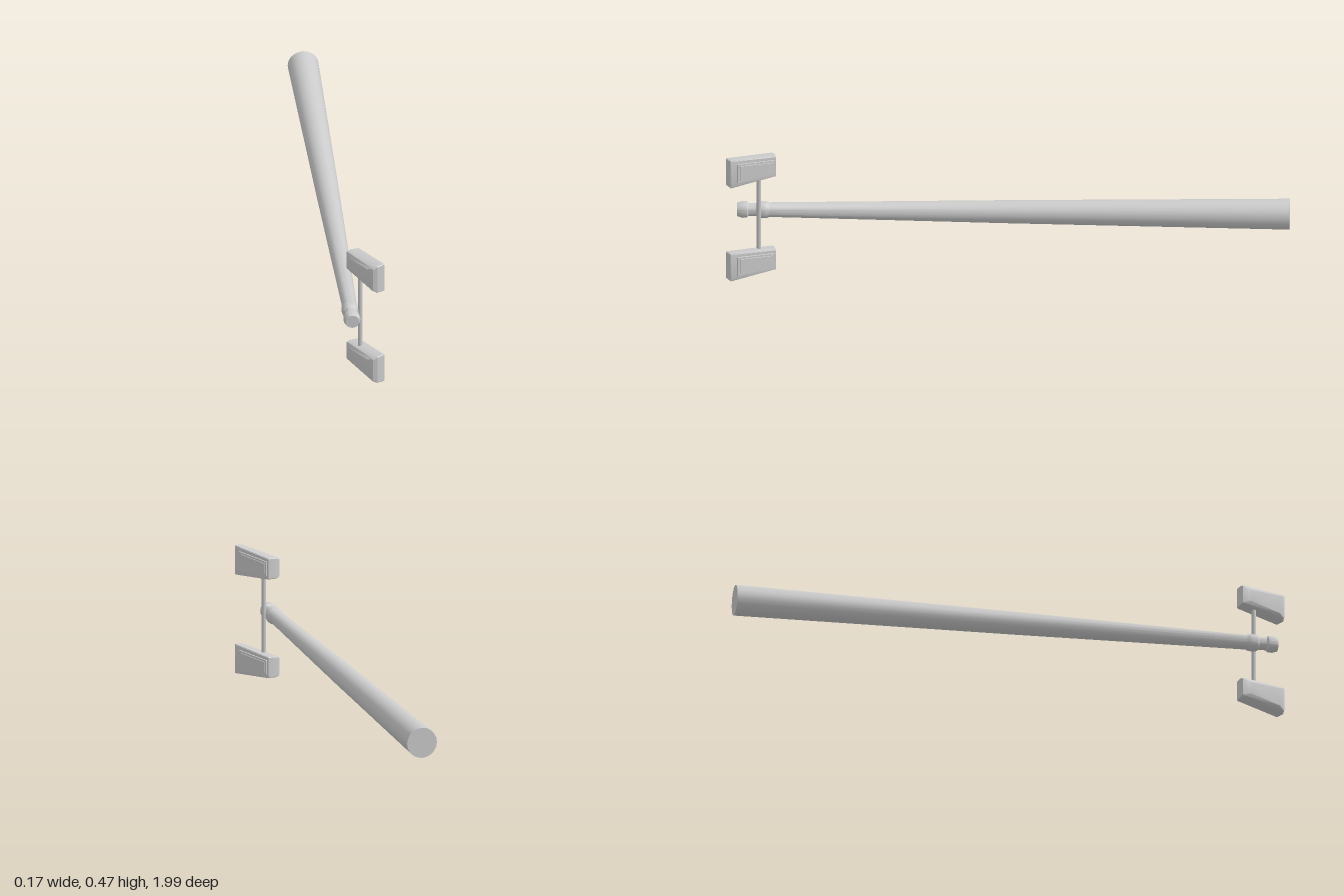
import * as THREE from 'three';
import { toCreasedNormals } from 'three/addons/utils/BufferGeometryUtils.js';

const material = new THREE.MeshStandardMaterial({ color: 0xcccccc });

function mesh(name, geometry) {
  const m = new THREE.Mesh(toCreasedNormals(geometry, 0.5), material);
  m.name = name;
  return m;
}

// Trapezoid outline with clipped corners: x runs along the lamp, z is its depth.
function section(z, x0, x1, h0, h1, c) {
  return [
    [x0 + c, -h0], [x1 - c, -h1], [x1, -h1 + c], [x1, h1 - c],
    [x1 - c, h1], [x0 + c, h0], [x0, h0 - c], [x0, -h0 + c],
  ].map(([x, y]) => [x, y, z]);
}

// Skin a stack of sections (increasing z) and close both ends.
function loft(sections) {
  const n = sections[0].length, last = (sections.length - 1) * n, index = [];
  for (let s = 0; s < sections.length - 1; s++) {
    for (let i = 0; i < n; i++) {
      const a = s * n + i, b = s * n + (i + 1) % n;
      index.push(a, b, b + n, a, b + n, a + n);
    }
  }
  for (let i = 1; i < n - 1; i++) {
    index.push(0, i + 1, i, last, last + i, last + i + 1);
  }
  const g = new THREE.BufferGeometry();
  g.setAttribute('position', new THREE.Float32BufferAttribute(sections.flat(2), 3));
  g.setIndex(index);
  return g;
}

function createLamp(name) {
  const lamp = new THREE.Group();
  lamp.name = name;
  // Housing: domed back, full-height rim, slightly recessed face
  lamp.add(mesh('housing', loft([
    section(-0.027, -0.036, 0.098, 0.022, 0.034, 0.004),
    section(-0.019, -0.062, 0.120, 0.034, 0.044, 0.004),
    section(-0.004, -0.063, 0.127, 0.038, 0.052, 0.003),
    section(0.026, -0.055, 0.123, 0.038, 0.053, 0.002),
    section(0.028, -0.053, 0.120, 0.036, 0.050, 0.002),
  ])));
  // Lens frame and lens on the lit face
  lamp.add(mesh('lensFrame', loft([
    section(0.026, -0.049, 0.098, 0.027, 0.037, 0.001),
    section(0.032, -0.048, 0.096, 0.026, 0.036, 0.001),
  ])));
  lamp.add(mesh('lens', loft([
    section(0.031, -0.040, 0.086, 0.020, 0.029, 0.001),
    section(0.034, -0.039, 0.085, 0.019, 0.028, 0.001),
  ])));
  return lamp;
}

export function createModel() {
  const model = new THREE.Group();
  model.name = 'poleWithLamps';

  // Tapered pole with collar, neck and end knob: [radius, z]
  const profile = [
    [0, -1], [0.055, -1], [0.041, 0], [0.026, 0.84],
    [0.030, 0.848], [0.031, 0.862], [0.029, 0.878], [0.023, 0.886],
    [0.023, 0.912], [0.029, 0.918], [0.030, 0.935], [0.024, 0.953], [0, 0.953],
  ].map(([r, z]) => new THREE.Vector2(r, z));
  const pole = mesh('pole', new THREE.LatheGeometry(profile, 20).rotateX(Math.PI / 2));
  pole.position.set(-0.03, 0.232, 0);
  model.add(pole);

  // Crossbar carrying the two lamps
  const bar = mesh('crossbar', new THREE.CylinderGeometry(0.008, 0.008, 0.36, 14));
  bar.position.set(0.004, 0.234, 0.875);
  model.add(bar);

  // Lamps: local +x runs forward, local +z is the lit face
  const u = new THREE.Vector3(0.435, 0, 0.9).normalize();
  const up = new THREE.Vector3(0, 1, 0);
  const n = new THREE.Vector3().crossVectors(u, up).negate();
  for (const [name, y] of [['upperLamp', 0.415], ['lowerLamp', 0.055]]) {
    const lamp = createLamp(name);
    // The lit face looks to +x, so the lamp is turned end for end
    lamp.rotation.y = Math.atan2(-n.x, -n.z);
    lamp.rotation.y = Math.atan2(n.x, n.z);
    lamp.children.forEach((part) => part.geometry.rotateZ(Math.PI));
    lamp.position.set(0.004, y, 0.875);
    model.add(lamp);
  }
  return model;
}
